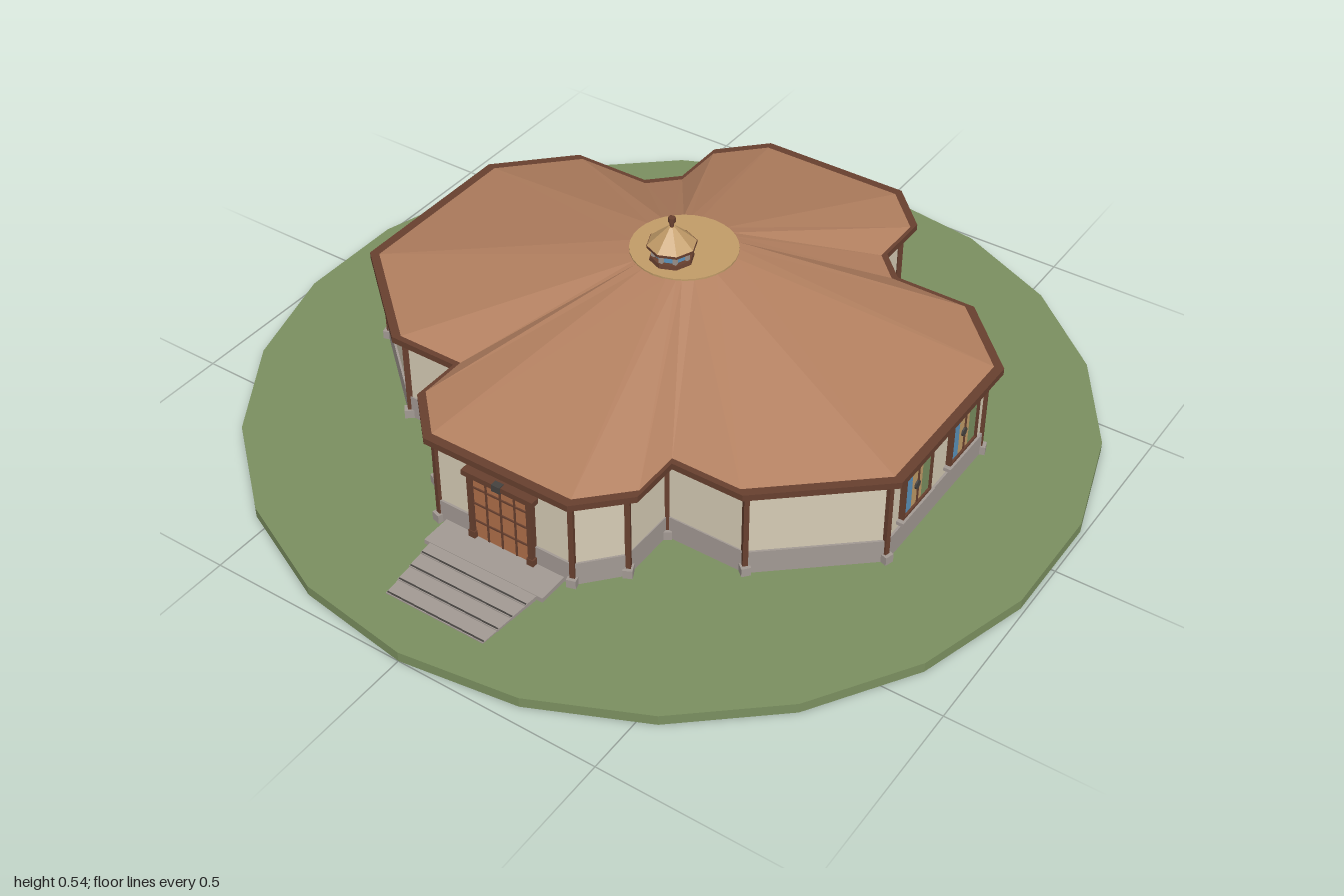
import * as THREE from 'three';

const paint = (name, color) => {
  const m = new THREE.MeshStandardMaterial({ color });
  m.name = name;
  m.flatShading = true;
  return m;
};

export function createModel() {
  const model = new THREE.Group();
  const grass = paint('grass', 0x7b9060);
  const tile = paint('roof tile', 0xb38060);
  const trim = paint('dark timber', 0x68402f);
  const plaster = paint('plaster', 0xd6ccb5);
  const stone = paint('stone', 0xa39a94);
  const wood = paint('door wood', 0xb0704a);
  const straw = paint('straw', 0xc29c68);
  const glass = paint('blue glass', 0x5b93bd);
  const iron = paint('iron', 0x45423f);

  const add = (parent, name, geometry, material, x = 0, y = 0, z = 0) => {
    const mesh = new THREE.Mesh(geometry, material);
    mesh.name = name;
    mesh.position.set(x, y, z);
    parent.add(mesh);
    return mesh;
  };
  const box = (parent, name, w, h, d, material, x, y, z) =>
    add(parent, name, new THREE.BoxGeometry(w, h, d), material, x, y, z);
  // Closed plan from its +x half, listed back to front
  const mirrored = half => [...half, ...half.slice().reverse().map(([x, z]) => [-x, z])];
  const scaled = (plan, s) => plan.map(([x, z]) => [x * s, (z + 0.03) * s - 0.03]);
  const slab = (name, plan, y0, y1, material) => {
    const shape = new THREE.Shape(plan.map(([x, z]) => new THREE.Vector2(x, -z)));
    const g = new THREE.ExtrudeGeometry(shape, { depth: y1 - y0, bevelEnabled: false });
    g.rotateX(-Math.PI / 2);
    return add(model, name, g, material, 0, y0, 0);
  };

  // Lawn
  add(model, 'lawn', new THREE.CylinderGeometry(1, 1, 0.025, 22), grass, 0, 0.0125, 0);

  // Walls, plinth and corner posts
  const wallPlan = mirrored([[0.18, -0.69], [0.26, -0.6], [0.26, -0.46], [0.34, -0.38], [0.54, -0.38],
    [0.69, -0.23], [0.69, 0.2], [0.46, 0.4], [0.26, 0.4], [0.26, 0.545], [0.18, 0.635]]);
  slab('walls', wallPlan, 0.025, 0.258, plaster);
  slab('plinth', scaled(wallPlan, 1.008), 0.025, 0.085, stone);
  wallPlan.forEach(([x, z]) => {
    const post = new THREE.Group();
    post.name = 'cornerPost';
    post.position.set(x, 0, z);
    post.rotation.y = Math.atan2(x, z);
    box(post, 'postShaft', 0.012, 0.232, 0.014, trim, 0, 0.142, 0);
    box(post, 'postFoot', 0.022, 0.022, 0.026, stone, 0, 0.036, 0.002);
    model.add(post);
  });
  slab('wallPlate', scaled(wallPlan, 1.01), 0.247, 0.257, trim);

  // Roof: eave board, then a fan of slopes up to a ring
  const roofPlan = mirrored([[0.19, -0.725], [0.293, -0.62], [0.293, -0.475], [0.36, -0.408], [0.56, -0.408],
    [0.722, -0.245], [0.722, 0.21], [0.47, 0.43], [0.293, 0.43], [0.293, 0.555], [0.19, 0.66]]);
  slab('eaveBoard', roofPlan, 0.255, 0.271, trim);
  const ringZ = -0.05, ringR = 0.122, ringY = 0.424;
  const eave = scaled(roofPlan, 0.985).map(([x, z]) => [x, 0.268, z]);
  const ring = eave.map(([x, , z]) => {
    const a = Math.atan2(x, z - ringZ);
    return [Math.sin(a) * ringR, ringY, ringZ + Math.cos(a) * ringR];
  });
  const verts = [];
  eave.forEach((p, i) => {
    const j = (i + 1) % eave.length;
    verts.push(...eave[j], ...p, ...ring[i], ...eave[j], ...ring[i], ...ring[j]);
  });
  const roofGeo = new THREE.BufferGeometry();
  roofGeo.setAttribute('position', new THREE.Float32BufferAttribute(verts, 3));
  roofGeo.computeVertexNormals();
  add(model, 'roof', roofGeo, tile);
  add(model, 'roofCrown', new THREE.CylinderGeometry(0.125, 0.125, 0.006, 32), straw, 0, 0.424, ringZ);

  // Roof lantern
  const cupola = new THREE.Group();
  cupola.name = 'cupola';
  model.add(cupola);
  add(cupola, 'cupolaBase', new THREE.CylinderGeometry(0.05, 0.052, 0.01, 8), trim, 0, 0.432, 0);
  add(cupola, 'cupolaGlass', new THREE.CylinderGeometry(0.04, 0.04, 0.03, 8), glass, 0, 0.45, 0);
  for (let i = 0; i < 8; i++) {
    const a = i * Math.PI / 4;
    box(cupola, 'cupolaPost', 0.009, 0.03, 0.009, stone, Math.sin(a) * 0.041, 0.45, Math.cos(a) * 0.041);
  }
  add(cupola, 'cupolaRim', new THREE.CylinderGeometry(0.058, 0.058, 0.006, 8), trim, 0, 0.464, 0);
  add(cupola, 'cupolaRoof', new THREE.CylinderGeometry(0.008, 0.058, 0.046, 8), straw, 0, 0.489, 0);
  add(cupola, 'finial', new THREE.CylinderGeometry(0.005, 0.005, 0.03, 6), trim, 0, 0.518, 0);
  add(cupola, 'finialKnob', new THREE.CylinderGeometry(0.009, 0.009, 0.012, 6), trim, 0, 0.53, 0);

  // Doors at front and back
  const door = (z, turn) => {
    const g = new THREE.Group();
    g.name = 'door';
    g.position.z = z;
    g.rotation.y = turn;
    model.add(g);
    box(g, 'doorLeaf', 0.15, 0.18, 0.01, wood, 0, 0.126, 0.004);
    for (const s of [-1, 1]) {
      box(g, 'doorJamb', 0.012, 0.185, 0.022, trim, s * 0.079, 0.125, 0.006);
      box(g, 'doorFoot', 0.018, 0.02, 0.026, trim, s * 0.079, 0.045, 0.006);
    }
    for (const x of [-0.038, 0, 0.038]) box(g, 'doorBar', 0.004, 0.175, 0.004, trim, x, 0.126, 0.01);
    for (const y of [0.085, 0.135, 0.18]) box(g, 'doorRail', 0.15, 0.004, 0.004, trim, 0, y, 0.01);
    box(g, 'doorLintel', 0.19, 0.014, 0.026, trim, 0, 0.219, 0.008);
    box(g, 'doorBoss', 0.022, 0.018, 0.016, iron, 0, 0.219, 0.016);
    box(g, 'threshold', 0.22, 0.01, 0.04, stone, 0, 0.03, 0.02);
  };
  door(0.635, 0);
  door(-0.69, Math.PI);

  // Front steps, narrowing outward
  box(model, 'landing', 0.32, 0.013, 0.085, stone, 0, 0.0305, 0.675);
  for (let i = 0; i < 4; i++) {
    const z0 = 0.71 + i * 0.043;
    const w0 = 0.145 - i * 0.004;
    slab('step', [[w0, z0], [w0 - 0.003, z0 + 0.043], [0.003 - w0, z0 + 0.043], [-w0, z0]],
      0.02, 0.0355 - i * 0.0025, stone);
    box(model, 'stepNosing', w0 * 2 - 0.008, 0.001, 0.004, iron, 0, 0.0357 - i * 0.0025, z0 + 0.039);
  }

  // Two windows on each side wall
  const windowUnit = (side, z) => {
    const g = new THREE.Group();
    g.name = 'window';
    g.position.set(side * 0.69, 0.168, z);
    g.rotation.y = side * Math.PI / 2;
    model.add(g);
    box(g, 'bluePane', 0.036, 0.106, 0.008, glass, -0.04, 0, 0.004);
    box(g, 'middlePane', 0.046, 0.106, 0.008, straw, 0, 0, 0.004);
    box(g, 'greenPane', 0.036, 0.106, 0.008, grass, 0.04, 0, 0.004);
    box(g, 'mullion', 0.004, 0.106, 0.012, trim, 0.002, 0, 0.005);
    const knot = add(g, 'paneKnot', new THREE.CylinderGeometry(0.011, 0.011, 0.006, 8), iron, -0.002, 0, 0.009);
    knot.rotation.x = Math.PI / 2;
    for (const s of [-1, 1]) {
      box(g, 'windowJamb', 0.006, 0.118, 0.014, trim, s * 0.058, 0, 0.006);
      box(g, 'windowRail', 0.12, 0.006, 0.014, trim, 0, s * 0.056, 0.006);
    }
    box(g, 'windowSill', 0.14, 0.009, 0.02, stone, 0, -0.065, 0.008);
  };
  for (const side of [-1, 1]) {
    for (const z of [0.09, -0.12]) windowUnit(side, z);
    // Rainwater pipe pieces at the back corners
    box(model, 'pipeHead', 0.02, 0.065, 0.02, trim, side * 0.55, 0.216, -0.388);
    box(model, 'pipeShoe', 0.014, 0.04, 0.014, wood, side * 0.635, 0.07, -0.295);
  }

  return model;
}
